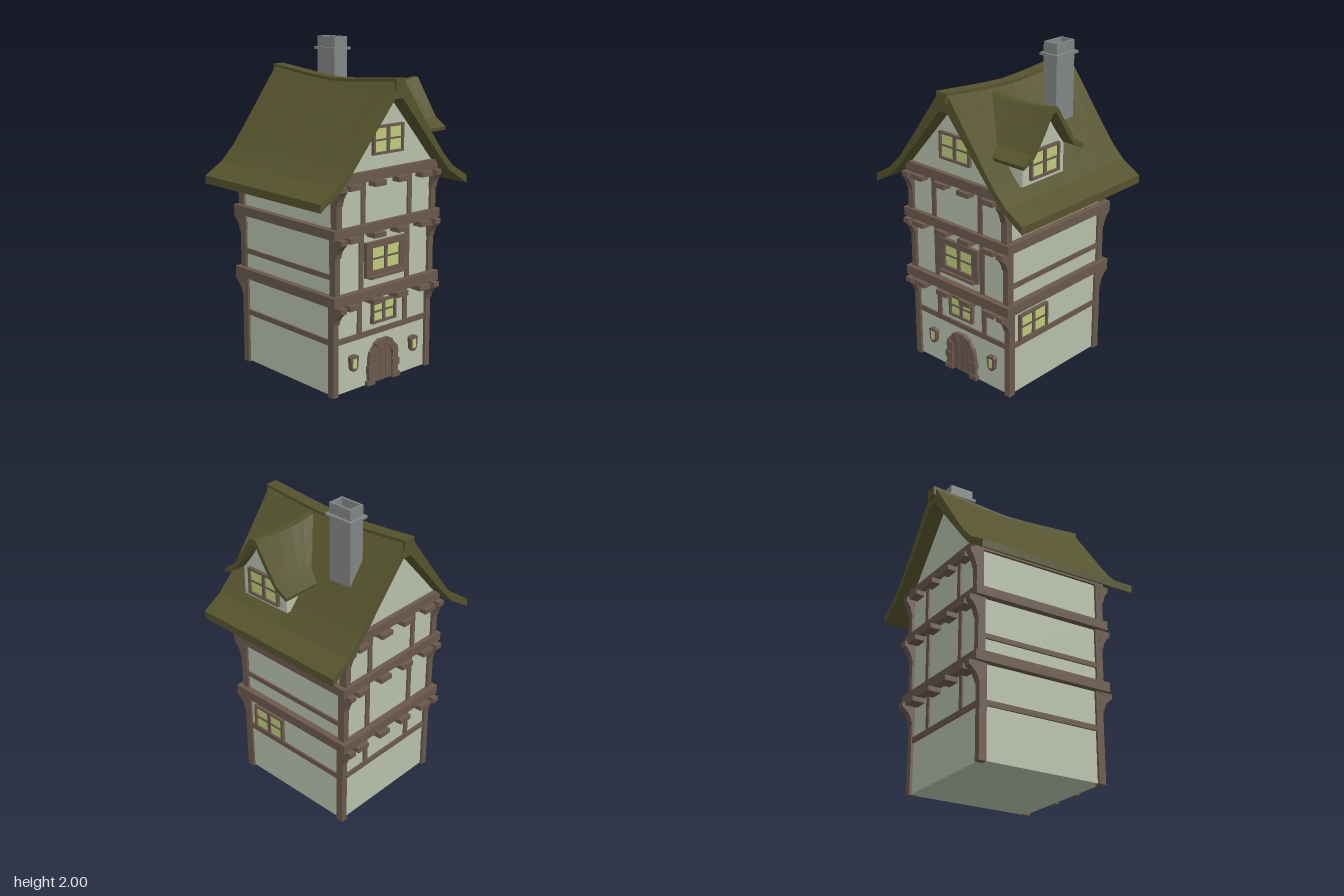
import * as THREE from 'three';

const mat = (name, color) => {
  const m = new THREE.MeshStandardMaterial({ color });
  m.name = name;
  return m;
};

export function createModel() {
  const plaster = mat('plaster', 0xb8c1ab);
  const timber = mat('timber', 0x6a594d);
  const shingle = mat('shingle', 0x55532d);
  const glass = mat('litGlass', 0xbfcc7c);
  const stone = mat('chimneyStone', 0x818684);

  const house = new THREE.Group();
  house.name = 'timberHouse';

  const add = (parent, name, geo, material) => {
    const m = new THREE.Mesh(geo, material);
    m.name = name;
    parent.add(m);
    return m;
  };
  const box = (parent, name, material, x0, x1, y0, y1, z0, z1) => {
    const m = add(parent, name, new THREE.BoxGeometry(x1 - x0, y1 - y0, z1 - z0), material);
    m.position.set((x0 + x1) / 2, (y0 + y1) / 2, (z0 + z1) / 2);
    return m;
  };
  const group = (parent, name) => {
    const g = new THREE.Group();
    g.name = name;
    parent.add(g);
    return g;
  };
  const shapeOf = pts => new THREE.Shape(pts.map(p => new THREE.Vector2(...p)));
  const rect = (w, h) => [[-w / 2, -h / 2], [w / 2, -h / 2], [w / 2, h / 2], [-w / 2, h / 2]];
  const extrude = (shape, depth, steps = 1) =>
    new THREE.ExtrudeGeometry(shape, { depth, steps, bevelEnabled: false });
  const frameGeo = (w, h, t, depth) => {
    const s = shapeOf(rect(w, h));
    s.holes.push(shapeOf(rect(w - 2 * t, h - 2 * t).reverse()));
    return extrude(s, depth);
  };
  // Half profile (x >= 0, top to bottom) closed by its mirror image
  const mirrored = half => [...half, ...half.map(([x, y]) => [-x, y]).reverse()];

  // Four-pane window, facing +z with its back on z = 0
  const windowAt = (parent, name, w, h, x, y, z, turn = 0) => {
    const g = group(parent, name);
    add(g, 'windowFrame', frameGeo(w, h, 0.014, 0.022), timber);
    box(g, 'windowGlass', glass, -w / 2 + 0.01, w / 2 - 0.01, -h / 2 + 0.01, h / 2 - 0.01, 0.001, 0.009);
    box(g, 'windowMullion', timber, -0.011, 0.011, -h / 2, h / 2, 0, 0.018);
    box(g, 'windowCrossbar', timber, -w / 2, w / 2, -0.005, 0.005, 0, 0.016);
    g.position.set(x, y, z);
    g.rotation.y = turn;
    return g;
  };

  // Storeys: wall bottom, beam bottom, beam top, wall half depth, beam half width
  const floors = [
    { y0: 0, yb: 0.555, yt: 0.615, z: 0.4, bx: 0.425 },
    { y0: 0.615, yb: 0.95, yt: 1.005, z: 0.412, bx: 0.427 },
    { y0: 1.005, yb: 1.25, yt: 1.308, z: 0.425, bx: 0.4 },
  ];
  const wallX = 0.385;
  floors.forEach((f, i) => {
    box(house, 'storeyWall', plaster, -wallX, wallX, f.y0 + (i ? 0 : 0.006), f.yb + 0.01, -f.z, f.z);
    box(house, 'floorBeam', timber, -f.bx, f.bx, f.yb, f.yt, -0.455, 0.455);

    // Bracket profile in depth and height, below the beam
    const s = new THREE.Shape();
    s.moveTo(f.z, f.yb);
    s.lineTo(f.z, f.yb - 0.115);
    s.lineTo(f.z + 0.022, f.yb - 0.115);
    s.quadraticCurveTo(f.z + 0.03, f.yb - 0.06, 0.485, f.yb - 0.03);
    s.lineTo(0.485, f.yb);
    const bracketGeo = new THREE.ExtrudeGeometry(s, { depth: 0.045, bevelEnabled: false, curveSegments: 4 });
    bracketGeo.rotateY(-Math.PI / 2).translate(0.0225, 0, 0);

    // Same framing on front and back
    for (const turn of [0, Math.PI]) {
      const side = group(house, turn ? 'backFraming' : 'frontFraming');
      side.rotation.y = turn;
      for (const sx of [-1, 1]) {
        const px = sx * 0.38;
        box(side, 'cornerPost', timber, px - 0.02, px + 0.02, f.y0, f.yb, f.z - 0.03, f.z + 0.017);
        add(side, 'bracket', bracketGeo, timber).position.x = px;
        const studX = sx * 0.187;
        box(side, 'stud', timber, studX - 0.016, studX + 0.016, i ? f.y0 : 0.34, f.yb, f.z - 0.01, f.z + 0.01);
        for (const jx of [0.095, 0.285])
          box(side, 'joistEnd', timber, sx * jx - 0.045, sx * jx + 0.045, f.yb - 0.03, f.yb, f.z - 0.01, 0.482);
      }
      if (i === 0) box(side, 'rail', timber, -0.37, 0.37, 0.312, 0.345, f.z - 0.01, f.z + 0.012);
    }
    // Side rails on the two lower storeys
    if (i < 2) {
      const [a, b] = i ? [0.705, 0.735] : [0.312, 0.345];
      for (const sx of [-1, 1])
        box(house, 'sideRail', timber, sx * 0.388 - 0.008, sx * 0.388 + 0.008, a, b, -f.z, f.z);
    }
  });

  // Attic with its two gable walls
  const attic = extrude(shapeOf(mirrored([[0.03, 1.715], [wallX, 1.295], [wallX, 1.24]]).reverse()), 0.85);
  add(house, 'gableWall', attic.translate(0, 0, -0.425), plaster);

  // Main roof: swept section whose ridge sags in the middle
  const sag = geo => {
    const p = geo.attributes.position;
    for (let i = 0; i < p.count; i++) {
      const t = Math.min(1, Math.abs(p.getZ(i)) / 0.52);
      const k = Math.min(1, Math.max(0, (p.getY(i) - 1.2) / 0.55));
      p.setY(i, p.getY(i) - 0.042 * k * (1 - t ** 1.3));
    }
    geo.computeVertexNormals();
    return geo;
  };
  const top = [[0.035, 1.812], [0.29, 1.468], [0.38, 1.352], [0.465, 1.268], [0.587, 1.195]];
  const under = [[0.587, 1.147], [0.43, 1.247], [0.35, 1.335], [0.03, 1.708]];
  const roofGeo = extrude(shapeOf(mirrored([...top, ...under])), 1.04, 8).translate(0, 0, -0.52);
  add(house, 'mainRoof', sag(roofGeo), shingle);
  const capGeo = extrude(shapeOf(mirrored([[0.038, 1.825], [0.038, 1.765]])), 1.07, 8).translate(0, 0, -0.535);
  add(house, 'ridgeCap', sag(capGeo), shingle);

  // Dormer, built facing +z and turned to face +x
  const dormer = group(house, 'dormer');
  dormer.position.z = 0.165;
  dormer.rotation.y = Math.PI / 2;
  const dWall = shapeOf(mirrored([[0.015, 1.725], [0.172, 1.5], [0.172, 1.325]]).reverse());
  add(dormer, 'dormerWall', extrude(dWall, 0.3).translate(0, 0, 0.122), plaster);
  const dRoof = shapeOf(mirrored([
    [0.02, 1.763], [0.1, 1.645], [0.175, 1.535], [0.254, 1.487],
    [0.25, 1.465], [0.165, 1.508], [0.09, 1.61], [0.015, 1.728],
  ]));
  const dGeo = extrude(dRoof, 1, 5);
  const dp = dGeo.attributes.position;
  for (let i = 0; i < dp.count; i++) {
    // Back edge follows the main roof slope, ridge dips midway
    const y = dp.getY(i), t = dp.getZ(i);
    const back = 0.01 + (1.8 - y) / 1.4;
    dp.setZ(i, back + (0.502 - back) * t);
    dp.setY(i, y - 0.022 * Math.sin(Math.PI * t) * Math.max(0, (y - 1.46) / 0.3));
  }
  dGeo.computeVertexNormals();
  add(dormer, 'dormerRoof', dGeo, shingle);
  windowAt(dormer, 'dormerWindow', 0.24, 0.17, 0, 1.437, 0.421);

  // Chimney with hollow top and a thin collar
  const chimney = group(house, 'chimney');
  chimney.position.set(0.183, 0, -0.238);
  box(chimney, 'chimneyShaft', stone, -0.05, 0.05, 1.5, 1.93, -0.078, 0.078);
  const rim = shapeOf(rect(0.1, 0.156));
  rim.holes.push(shapeOf(rect(0.074, 0.13).reverse()));
  add(chimney, 'chimneyRim', extrude(rim, 0.07).rotateX(-Math.PI / 2).translate(0, 1.93, 0), stone);
  box(chimney, 'chimneyCollar', stone, -0.068, 0.068, 1.92, 1.936, -0.093, 0.093);

  // Windows
  windowAt(house, 'groundWindow', 0.195, 0.14, 0.003, 0.45, 0.4);
  windowAt(house, 'middleWindow', 0.25, 0.185, 0.003, 0.78, 0.412);
  add(house, 'middleWindowSurround', frameGeo(0.325, 0.21, 0.036, 0.025), timber).position.set(0.003, 0.78, 0.412);
  box(house, 'middleWindowSill', timber, -0.14, 0.146, 0.668, 0.685, 0.405, 0.453);
  windowAt(house, 'gableWindow', 0.24, 0.165, 0, 1.473, 0.425);
  windowAt(house, 'sideWindow', 0.245, 0.17, wallX, 0.43, 0.205, Math.PI / 2);

  // Arched door with block surround
  const door = group(house, 'door');
  door.position.z = 0.4;
  const cy = 0.16;
  const leaf = new THREE.Shape();
  leaf.moveTo(-0.08, 0.012);
  leaf.lineTo(0.08, 0.012);
  leaf.lineTo(0.08, cy);
  leaf.absarc(0, cy, 0.08, 0, Math.PI);
  add(door, 'doorLeaf', extrude(leaf, 0.009), timber);
  for (const x of [-0.025, 0.025]) box(door, 'doorBoardSeam', timber, x - 0.002, x + 0.002, 0.015, 0.22, 0.005, 0.012);
  for (const sx of [-1, 1]) {
    [0.135, 0.12, 0.128, 0.12].forEach((w, i) => {
      const y0 = [0.005, 0.035, 0.08, 0.125][i], y1 = [0.033, 0.078, 0.123, 0.16][i];
      box(door, 'jambBlock', timber, Math.min(sx * w, sx * 0.073), Math.max(sx * w, sx * 0.073), y0, y1, 0, i % 2 ? 0.022 : 0.027);
    });
  }
  for (let i = 0; i < 7; i++) {
    const a = (i / 7) * Math.PI + 0.015, b = ((i + 1) / 7) * Math.PI - 0.015;
    const r = i % 2 ? 0.115 : 0.12;
    const at = (q, t) => [q * Math.cos(t), cy + q * Math.sin(t)];
    const block = shapeOf([at(0.073, a), at(r, a), at(r, b), at(0.073, b)]);
    add(door, 'archBlock', extrude(block, i % 2 ? 0.022 : 0.027), timber);
  }

  // Wall lanterns
  const lanternPts = mirrored([[0.018, 0.048], [0.032, 0.038], [0.026, -0.03], [0.012, -0.048]]);
  for (const x of [-0.24, 0.255]) {
    const l = group(house, 'lantern');
    l.position.set(x, 0.178, 0.398);
    add(l, 'lanternFrame', extrude(shapeOf(lanternPts), 0.028), timber);
    const pane = shapeOf([[-0.014, 0.027], [0.014, 0.027], [0.014, -0.022], [0.007, -0.03], [-0.007, -0.03], [-0.014, -0.022]]);
    add(l, 'lanternGlass', extrude(pane, 0.004).translate(0, 0, 0.027), glass);
  }
  return house;
}
